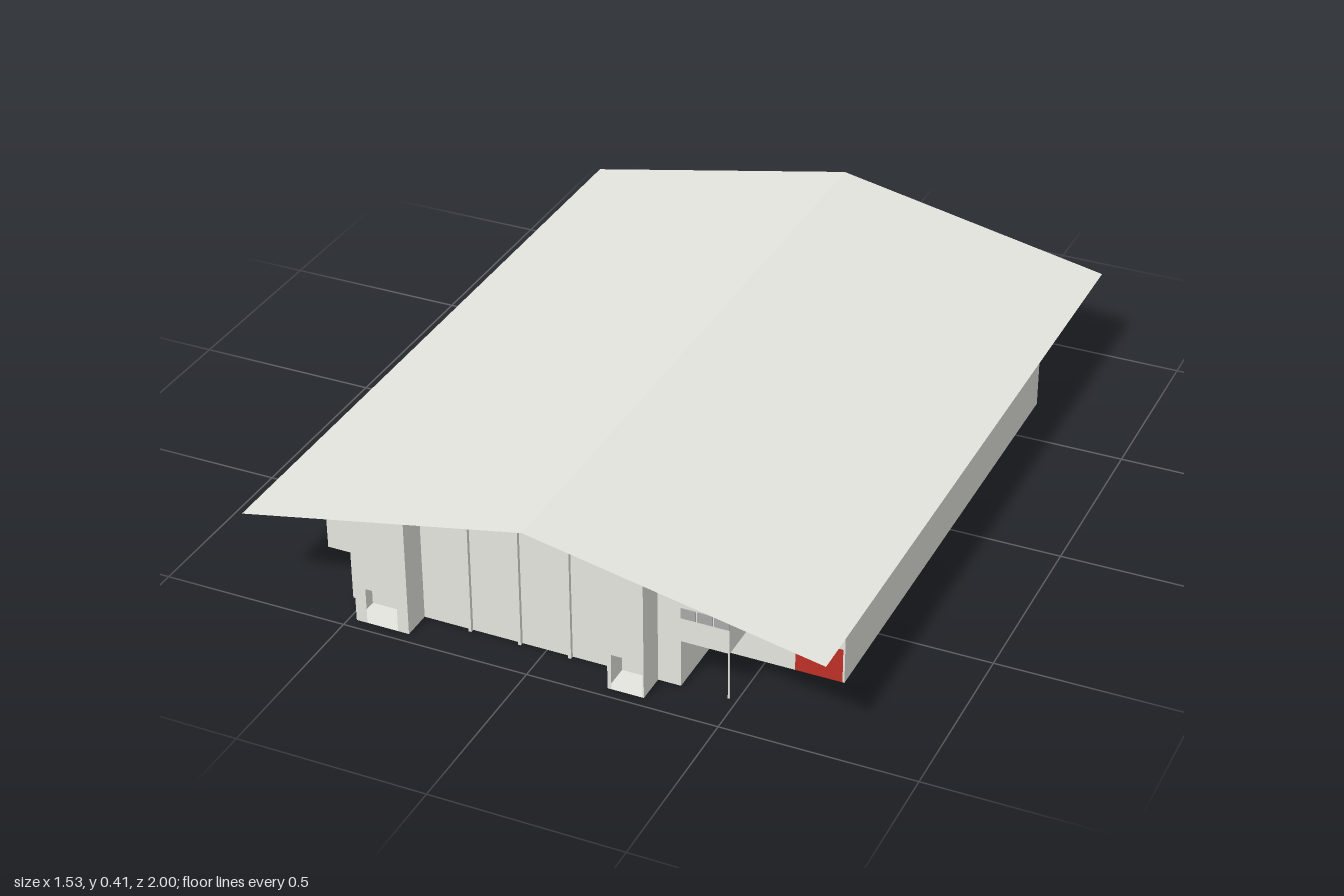
import * as THREE from 'three';

const mat = (name, color) => {
  const m = new THREE.MeshStandardMaterial({ color, side: THREE.DoubleSide });
  m.name = name;
  return m;
};

export function createModel() {
  const group = new THREE.Group();
  const shell = mat('light grey shell', 0xe6e6e0);
  const red = mat('red floor', 0xab2b22);
  const blue = mat('blue floor', 0x5f5cd2);
  const apron = mat('grey floor', 0xb0b0ac);
  const glass = mat('window grey', 0xaaaaaa);

  const RIDGE = 0.405, EAVE = 0.252, HALF = 0.766;
  const SIDE = 0.704, BACK = -0.88; // outer wall positions
  const roofY = (x) => RIDGE - (RIDGE - EAVE) * Math.abs(x) / HALF;

  const add = (name, geometry, material) => {
    const mesh = new THREE.Mesh(geometry, material);
    mesh.name = name;
    group.add(mesh);
    return mesh;
  };

  // Upright sheet from a to b ([x, z]) that reaches up to the roof.
  // An opening is [start, end, height], measured along the wall.
  const wall = (name, a, b, { base = 0, opening } = {}) => {
    const u = new THREE.Vector3(b[0] - a[0], 0, b[1] - a[1]);
    const len = u.length();
    u.normalize();
    const top = (x) => roofY(x) - 0.002;
    const s = new THREE.Shape();
    s.moveTo(0, base);
    if (opening) {
      const [o0, o1, h] = opening;
      s.lineTo(o0, 0); s.lineTo(o0, h); s.lineTo(o1, h); s.lineTo(o1, 0);
    }
    s.lineTo(len, base);
    s.lineTo(len, top(b[0]));
    if (a[0] * b[0] < 0) s.lineTo(Math.abs(a[0]), top(0));
    s.lineTo(0, top(a[0]));
    const up = new THREE.Vector3(0, 1, 0);
    const m = new THREE.Matrix4().makeBasis(u, up, u.clone().cross(up));
    m.setPosition(a[0], 0, a[1]);
    return add(name, new THREE.ShapeGeometry(s).applyMatrix4(m), shell);
  };

  // Horizontal sheet
  const slab = (name, x0, x1, z0, z1, material, y = 0) => {
    const g = new THREE.PlaneGeometry(x1 - x0, z1 - z0).rotateX(-Math.PI / 2);
    g.translate((x0 + x1) / 2, y, (z0 + z1) / 2);
    return add(name, g, material);
  };

  // Gabled roof: two thin sloping sheets
  for (const side of [-1, 1]) {
    const run = Math.hypot(HALF, RIDGE - EAVE);
    const g = new THREE.PlaneGeometry(run, 2).rotateX(-Math.PI / 2);
    g.rotateZ(-side * Math.atan2(RIDGE - EAVE, HALF));
    g.translate(side * HALF / 2, (RIDGE + EAVE) / 2, 0);
    add(side > 0 ? 'roofLeft' : 'roofRight', g, shell);
  }

  // Side and back walls, with a notched back corner
  wall('leftWall', [SIDE, 0.72], [SIDE, -0.675]);
  wall('rightWall', [-SIDE, BACK], [-SIDE, 0.72]);
  wall('backWall', [0.612, BACK], [-SIDE, BACK]);
  wall('notchSide', [0.612, -0.675], [0.612, BACK]);
  wall('notchBack', [SIDE, -0.675], [0.612, -0.675], { opening: [0.046, 0.09, 0.1] });

  // Front walls and the long partitions of the hall
  wall('frontWallRight', [-SIDE, 0.72], [-0.535, 0.72]);
  wall('frontWallHall', [-0.535, 0.89], [0.355, 0.89]);
  wall('frontWallLeft', [0.355, 0.72], [SIDE, 0.72], { opening: [0.222, 0.344, 0.095] });
  wall('hallSideRight', [-0.535, BACK], [-0.535, 0.89]);
  wall('hallSideLeft', [0.355, 0.89], [0.355, -0.675]);

  // Projecting entrance bays, open at the door
  const bays = [[-0.48, -0.335, [0.03, 0.115, 0.1]], [0.2, 0.295, [0.01, 0.092, 0.1]]];
  for (const [x0, x1, opening] of bays) {
    wall('bayFront', [x0, 0.97], [x1, 0.97], { opening });
    wall('baySide', [x0, 0.89], [x0, 0.97]);
    wall('baySide', [x1, 0.97], [x1, 0.89]);
    slab('bayFloor', x0, x1, 0.89, 0.97, shell);
  }

  // Slim ribs between the front panels
  for (const x of [-0.205, -0.07, 0.065]) {
    const h = roofY(x) - 0.003;
    add('frontRib', new THREE.BoxGeometry(0.008, h, 0.01).translate(x, h / 2, 0.895), shell);
  }

  // Covered porch: upper walls, ceiling and corner post
  wall('porchFront', [0.355, 0.89], [0.48, 0.89], { base: 0.13 });
  wall('porchSide', [0.48, 0.89], [0.48, 0.72], { base: 0.13 });
  slab('porchCeiling', 0.355, 0.48, 0.72, 0.89, shell, 0.13);
  add('porchPost', new THREE.BoxGeometry(0.004, 0.13, 0.004).translate(0.478, 0.065, 0.888), shell);
  for (let i = 0; i < 3; i++) {
    add('porchWindow', new THREE.BoxGeometry(0.039, 0.028, 0.004)
      .translate(0.375 + i * 0.043, 0.212, 0.891), glass);
  }

  // Hall floor: coloured court with a border
  slab('courtFloor', -0.46, 0.3, -0.6, 0.795, blue);
  slab('courtBorderFront', -0.535, 0.355, 0.795, 0.89, apron);
  slab('courtBorderBack', -0.535, 0.355, -0.69, -0.6, apron);
  slab('courtBorderRight', -0.535, -0.46, -0.6, 0.795, apron);
  slab('courtBorderLeft', 0.3, 0.355, -0.6, 0.795, apron);

  // Floors of the back rooms and side aisles
  slab('backFloor', -0.535, 0.355, BACK, -0.69, shell);
  slab('backFloorLeft', 0.355, 0.53, BACK, -0.675, shell);
  slab('backFloorCorner', 0.53, 0.612, BACK, -0.8, shell);
  slab('backPassageFloor', 0.53, 0.612, -0.8, -0.675, red);
  slab('leftAisleFloor', 0.355, SIDE, -0.675, 0.72, red);
  slab('rightAisleFront', -SIDE, -0.535, 0.17, 0.72, red);
  slab('rightAisleMiddle', -SIDE, -0.535, -0.16, 0.17, shell);
  slab('rightAisleBack', -SIDE, -0.535, BACK, -0.16, red);

  return group;
}
